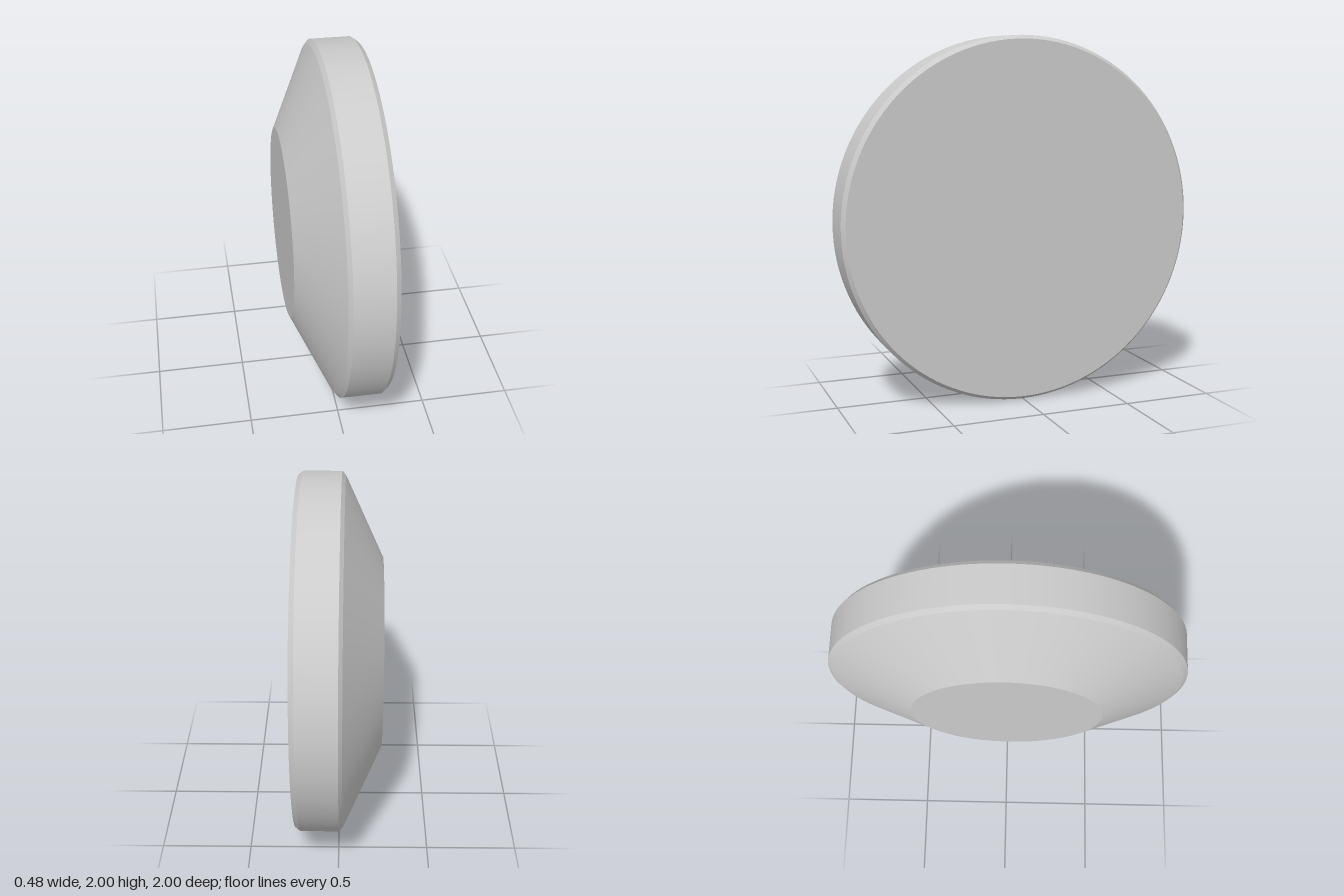
import * as THREE from 'three';

const material = new THREE.MeshStandardMaterial({ color: 0xcccccc });

// One smooth band of the disc, from (radius, axial position) to the next;
// separate bands keep the edges between them crisp.
function band(name, from, to) {
  const points = [from, to].map(([r, a]) => new THREE.Vector2(r, a));
  const mesh = new THREE.Mesh(new THREE.LatheGeometry(points, 128), material);
  mesh.name = name;
  return mesh;
}

export function createModel() {
  const disc = new THREE.Group();
  disc.name = 'disc';

  // Profile from the small end cap to the broad flat face
  const profile = [
    [0, -0.237], [0.53, -0.237], [0.975, -0.03], [1, -0.01],
    [1, 0.203], [0.98, 0.229], [0, 0.229],
  ];
  const names = ['smallCap', 'cone', 'coneBevel', 'rim', 'faceBevel', 'broadFace'];
  names.forEach((name, i) => disc.add(band(name, profile[i], profile[i + 1])));

  // Lay the axis along x, broad face toward +x
  disc.rotation.z = -Math.PI / 2;

  // The disc stands on its rim, turned very slightly about the vertical
  const model = new THREE.Group();
  model.name = 'bevelledDisc';
  model.add(disc);
  model.rotation.y = -0.008;
  model.position.y = 1;

  const root = new THREE.Group();
  root.name = 'model';
  root.add(model);
  return root;
}
